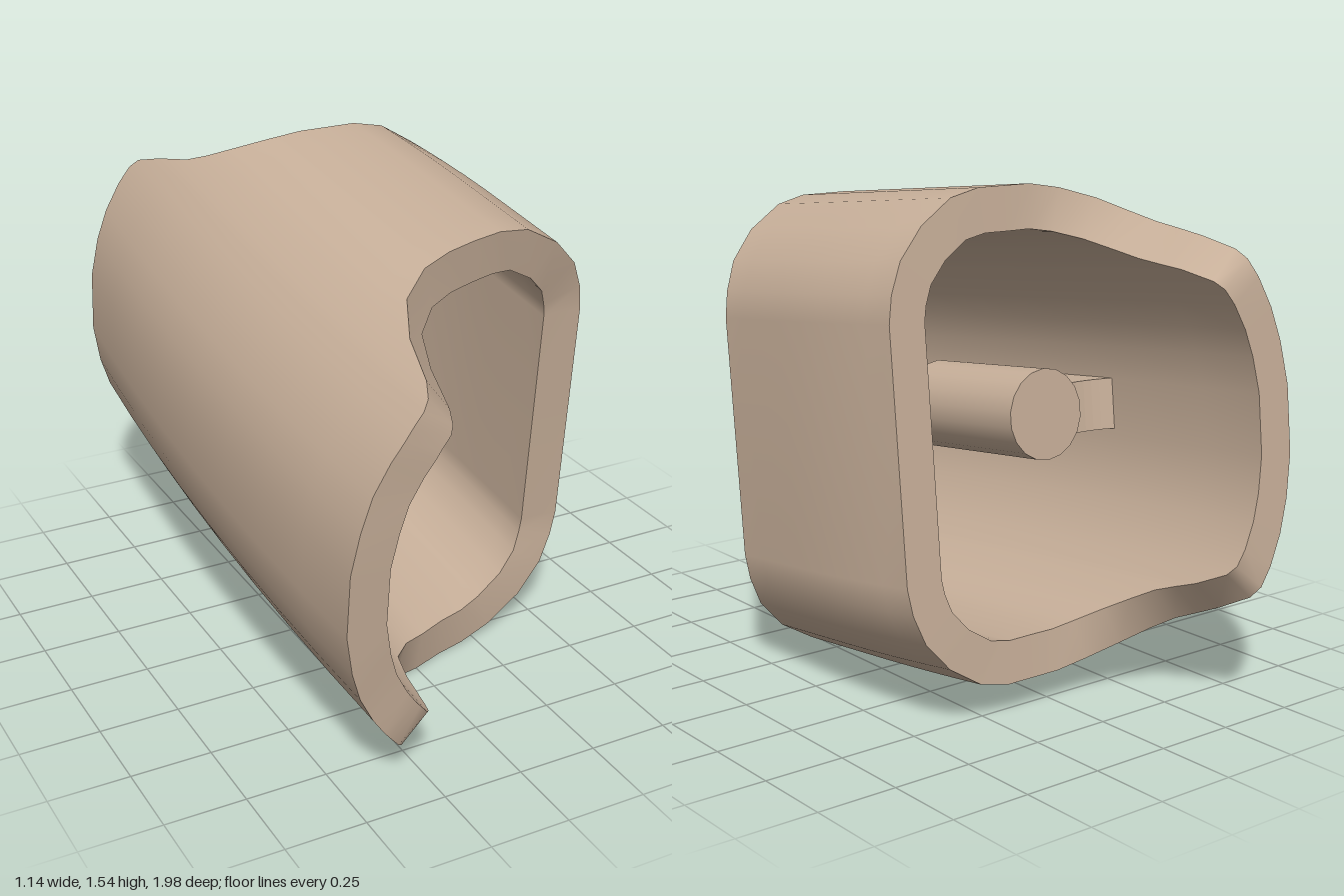
import * as THREE from 'three';

const WALL = 0.13;   // wall thickness
const RINGS = 8;     // steps along the length

// Upper half of the section from right to left: x, y, front cut z, back cut z
const HALF = [
  [0.57, 0, 0.32, -0.48], [0.57, 0.37, 0.32, -0.48], [0.555, 0.45, 0.325, -0.48],
  [0.515, 0.54, 0.34, -0.48], [0.43, 0.63, 0.36, -0.48], [0.31, 0.7, 0.38, -0.475],
  [0.2, 0.7225, 0.405, -0.475], [0.1, 0.7225, 0.43, -0.475], [0, 0.7225, 0.465, -0.475],
  [-0.1, 0.705, 0.5, -0.49], [-0.2, 0.668, 0.58, -0.54], [-0.265, 0.625, 0.71, -0.61],
  [-0.31, 0.59, 0.87, -0.68], [-0.335, 0.568, 0.92, -0.75], [-0.36, 0.545, 0.94, -0.82],
  [-0.395, 0.505, 0.945, -0.92], [-0.42, 0.475, 0.95, -0.945], [-0.46, 0.42, 0.95, -0.95],
  [-0.51, 0.33, 0.95, -0.95], [-0.545, 0.23, 0.955, -0.95], [-0.57, 0.1, 0.955, -0.95],
];

// Full closed section, mirrored in y
const SECTION = [
  ...HALF,
  ...HALF.slice(1).reverse().map(([x, y, f, b]) => [x, -y, f, b]),
];
const COUNT = SECTION.length;

// Same section moved inward along its normals
const INNER = SECTION.map(([x, y, f, b], i) => {
  const p = SECTION[(i + COUNT - 1) % COUNT], n = SECTION[(i + 1) % COUNT];
  const tx = n[0] - p[0], ty = n[1] - p[1], len = Math.hypot(tx, ty);
  return [x - (ty / len) * WALL, y + (tx / len) * WALL, f, b];
});

// Slight barrel curve of the two long sides
function bulge(x, y, z) {
  if (x < 0) return [x * (1 - 0.08 * z * z), y, z];
  return [x - (z < 0 ? 0.16 * z * z * (x / 0.57) : 0), y, z];
}

// Closed loops joined into a strip; flip turns the faces round
function loft(loops, flip) {
  const index = [];
  for (let k = 0; k < loops.length - 1; k++) {
    for (let i = 0; i < COUNT; i++) {
      const j = (i + 1) % COUNT;
      const a = k * COUNT + i, b = k * COUNT + j, c = a + COUNT, d = b + COUNT;
      if (flip) index.push(a, c, b, b, c, d);
      else index.push(a, b, c, b, d, c);
    }
  }
  const g = new THREE.BufferGeometry();
  g.setAttribute('position', new THREE.Float32BufferAttribute(loops.flat(2), 3));
  g.setIndex(index);
  g.computeVertexNormals();
  return g;
}

const ringAt = (section, t) =>
  section.map(([x, y, f, b]) => bulge(x, y, b + (f - b) * t));

const wallLoops = (section) =>
  Array.from({ length: RINGS + 1 }, (_, k) => ringAt(section, k / RINGS));

export function createModel() {
  const model = new THREE.Group();
  model.name = 'sleeve';
  const material = new THREE.MeshStandardMaterial({ color: 0xc8b09a });
  const body = new THREE.Group();
  body.name = 'tiltedBody';
  body.rotation.x = THREE.MathUtils.degToRad(6);
  body.position.y = 0.768;
  model.add(body);

  const add = (name, geometry) => {
    const mesh = new THREE.Mesh(geometry, material);
    mesh.name = name;
    body.add(mesh);
    return mesh;
  };

  // Hollow shell with curved cuts at both ends
  add('outerWall', loft(wallLoops(SECTION), false));
  add('innerWall', loft(wallLoops(INNER), true));
  add('frontRim', loft([ringAt(SECTION, 1), ringAt(INNER, 1)], false));
  add('backRim', loft([ringAt(SECTION, 0), ringAt(INNER, 0)], true));

  // Round peg inside, parallel to the shell
  const peg = add('peg', new THREE.CylinderGeometry(0.142, 0.142, 0.53, 18));
  peg.rotation.x = Math.PI / 2;
  peg.position.set(-0.17, 0.014, -0.025);

  // Neck joining the peg to the wall, flared where it meets the wall
  const plan = new THREE.Shape();
  plan.moveTo(-0.2, -0.24);
  plan.lineTo(-0.2, 0.24);
  plan.lineTo(-0.32, 0.24);
  plan.quadraticCurveTo(-0.41, 0.245, -0.46, 0.3);
  plan.lineTo(-0.46, -0.3);
  plan.quadraticCurveTo(-0.41, -0.245, -0.32, -0.24);
  const neck = add('neck', new THREE.ExtrudeGeometry(plan, {
    depth: 0.16, bevelEnabled: false, curveSegments: 6,
  }));
  neck.rotation.x = Math.PI / 2;
  neck.position.set(0, 0.094, -0.025);

  return model;
}
